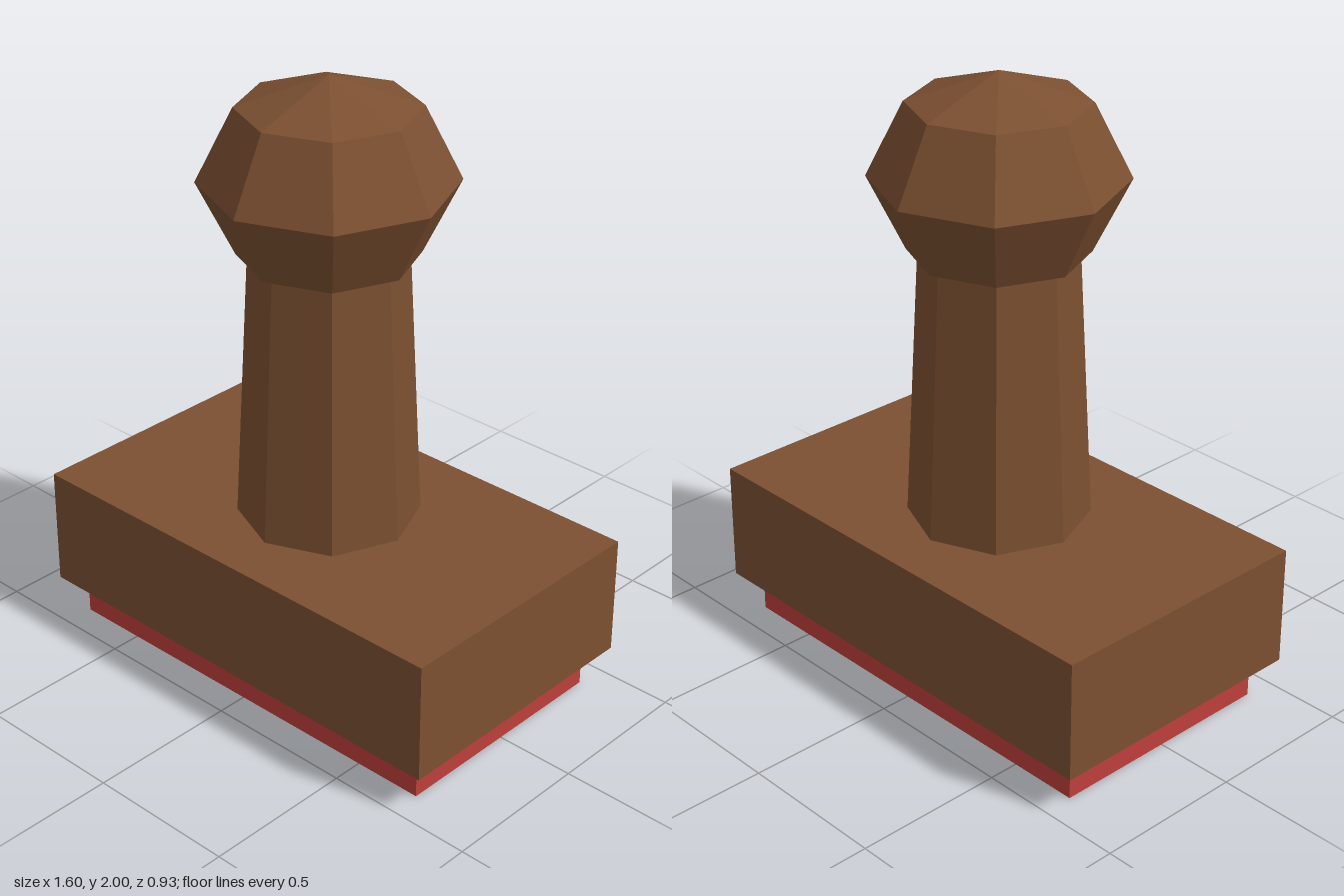
import * as THREE from 'three';

export function createModel() {
  const group = new THREE.Group();
  const wood = new THREE.MeshStandardMaterial({ color: 0x7c5031, flatShading: true });
  wood.name = 'brown wood';
  const rubber = new THREE.MeshStandardMaterial({ color: 0xbf3f3a, flatShading: true });
  rubber.name = 'red rubber';

  const add = (name, geometry, material, y) => {
    const mesh = new THREE.Mesh(geometry, material);
    mesh.name = name;
    mesh.position.y = y;
    group.add(mesh);
    return mesh;
  };

  // Stamping pad and wooden block above it
  add('stampPad', new THREE.BoxGeometry(1.467, 0.134, 0.8), rubber, 0.067);
  add('block', new THREE.BoxGeometry(1.6, 0.4, 0.933), wood, 0.333);

  // Tapered eight-sided handle, its top tucked into the knob
  add('handle', new THREE.CylinderGeometry(0.247, 0.293, 0.92, 8), wood, 0.993);

  // Slightly squashed faceted knob
  const knob = new THREE.SphereGeometry(0.4, 8, 4);
  knob.scale(1, 0.3333 / 0.4, 1);
  add('knob', knob, wood, 1.6667);

  return group;
}
